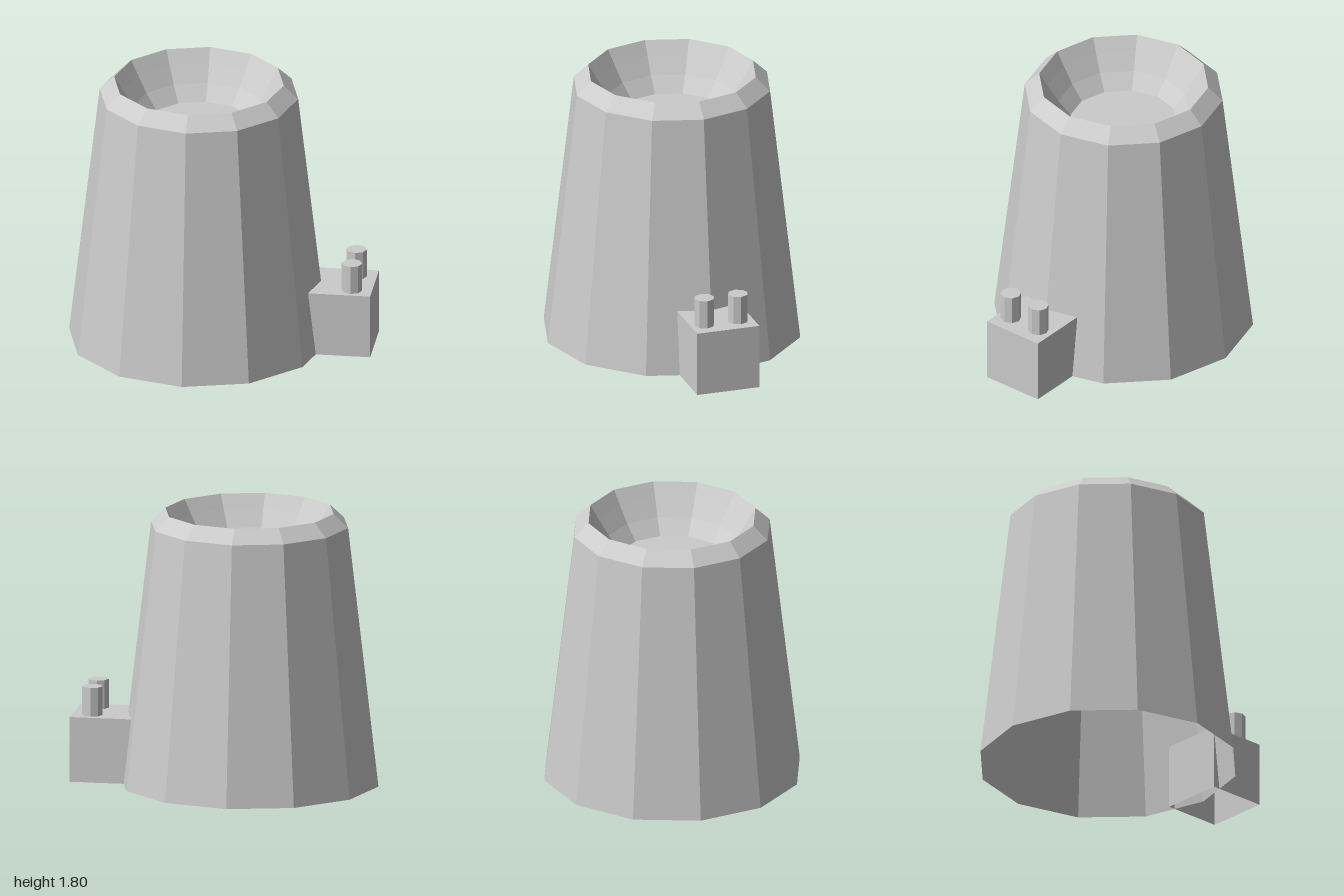
import * as THREE from 'three';

const material = new THREE.MeshStandardMaterial({
  color: 0xcccccc, flatShading: true, side: THREE.DoubleSide,
});

function addMesh(parent, name, geometry, x, y, z) {
  const mesh = new THREE.Mesh(geometry, material);
  mesh.name = name;
  mesh.position.set(x, y, z);
  parent.add(mesh);
  return mesh;
}

// Box without its underside (face order: +x, -x, +y, -y, +z, -z)
function openBottomBox(w, h, d) {
  const geometry = new THREE.BoxGeometry(w, h, d);
  const index = Array.from(geometry.index.array);
  index.splice(18, 6);
  geometry.setIndex(index);
  geometry.clearGroups();
  return geometry;
}

export function createModel() {
  const group = new THREE.Group();
  group.name = 'coolingTower';

  // Tapered twelve-sided shell, open below, with a bevelled rim and a sunken bowl on top
  const profile = [
    [0.85, 0], [0.65, 1.71], [0.555, 1.8],
    [0.5, 1.71], [0.43, 1.6], [0.35, 1.5], [0, 1.5],
  ].map(([r, y]) => new THREE.Vector2(r, y));
  addMesh(group, 'towerShell', new THREE.LatheGeometry(profile, 12), -0.15, 0, 0);

  // Annex block set into the side of the tower
  addMesh(group, 'annexBlock', openBottomBox(0.405, 0.43, 0.425), 0.7975, 0.215, 0);

  // Two octagonal chimneys on the annex
  for (const z of [0.12, -0.11]) {
    addMesh(group, 'chimney', new THREE.CylinderGeometry(0.067, 0.067, 0.19, 8), 0.868, 0.525, z);
  }
  return group;
}
